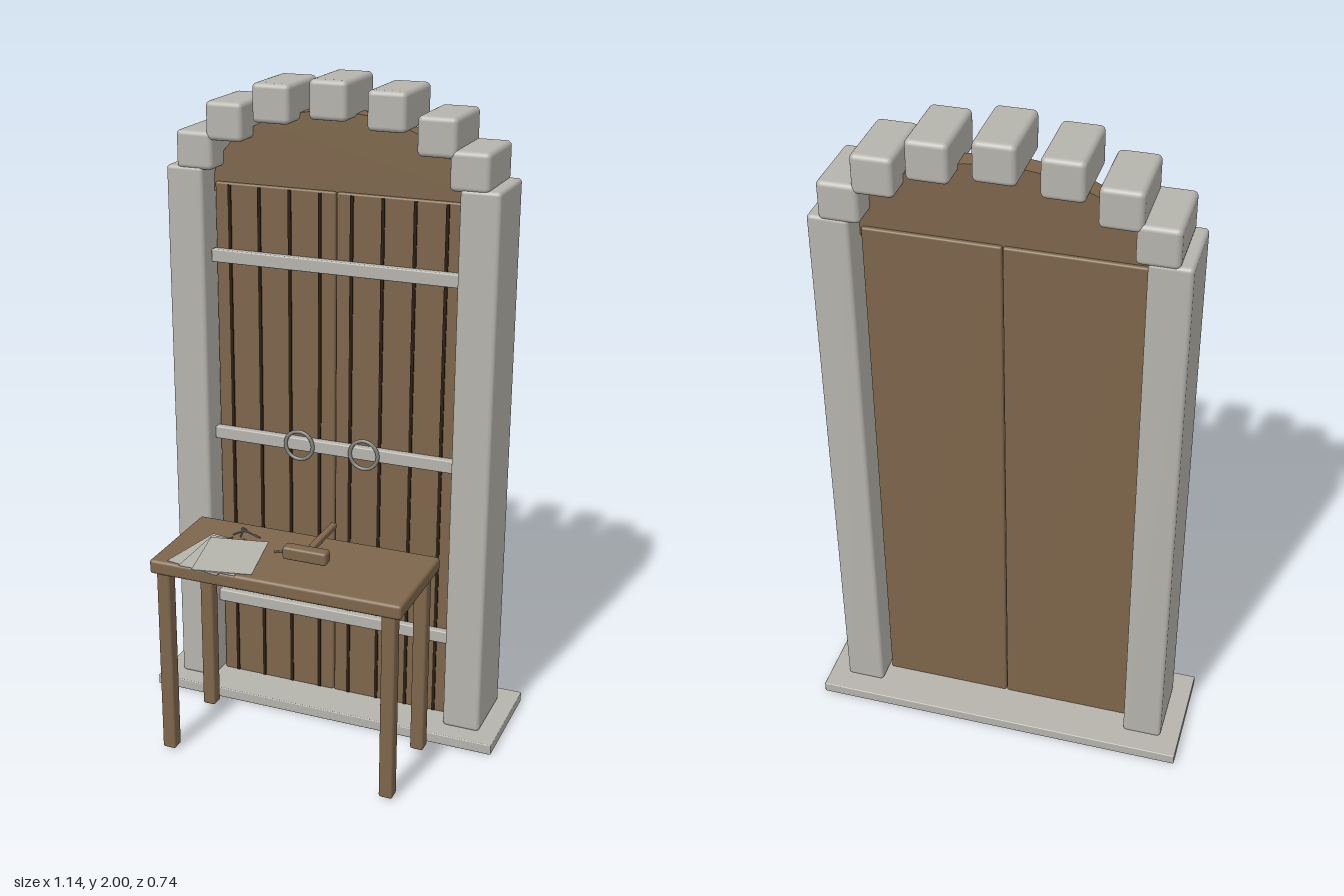
import * as THREE from 'three';
import { RoundedBoxGeometry } from 'three/addons/geometries/RoundedBoxGeometry.js';

export function createModel() {
  const model = new THREE.Group();
  model.name = 'archedDoorAndTable';

  const material = (name, color) => {
    const m = new THREE.MeshStandardMaterial({ color });
    m.name = name;
    return m;
  };
  const wood = material('wood', 0x7d664b);
  const stone = material('stone', 0xb5b3ac);
  const groove = material('dark groove', 0x2b1d10);
  const metal = material('ring metal', 0x82827e);

  const add = (name, geometry, mat, x, y, z, parent = model) => {
    const mesh = new THREE.Mesh(geometry, mat);
    mesh.name = name;
    mesh.position.set(x, y, z);
    parent.add(mesh);
    return mesh;
  };
  // Box given by its limits; r > 0 rounds the edges
  const box = (name, mat, [x0, x1], [y0, y1], [z0, z1], r = 0, parent = model) => {
    const size = [x1 - x0, y1 - y0, z1 - z0];
    const geometry = r
      ? new RoundedBoxGeometry(...size, 3, r)
      : new THREE.BoxGeometry(...size);
    return add(name, geometry, mat, (x0 + x1) / 2, (y0 + y1) / 2, (z0 + z1) / 2, parent);
  };
  const group = (name) => {
    const g = new THREE.Group();
    g.name = name;
    model.add(g);
    return g;
  };

  // Doorstep and pillars
  box('doorstep', stone, [-0.57, 0.57], [0, 0.033], [-0.373, -0.026], 0.003);
  for (const s of [-1, 1]) {
    const x = s * 0.453;
    box('pillar', stone, [x - 0.059, x + 0.059], [0.03, 1.725], [-0.307, -0.088], 0.012);
  }

  // Upright stones stepping round the arch
  const arch = group('archStones');
  const stones = [[0, 1.942], [0.175, 1.922], [0.323, 1.862], [0.42, 1.773]];
  for (const [x, y] of stones) {
    for (const s of x ? [-1, 1] : [1]) {
      const c = s * x;
      box('archStone', stone, [c - 0.058, c + 0.058], [y - 0.057, y + 0.057], [-0.309, -0.088], 0.015, arch);
    }
  }

  // Half-oval panel above the doors
  const oval = new THREE.Shape();
  oval.moveTo(-0.395, 1.64);
  oval.lineTo(0.395, 1.64);
  oval.lineTo(0.395, 1.67);
  oval.absellipse(0, 1.67, 0.395, 0.23, 0, Math.PI, false, 0);
  oval.closePath();
  add('archPanel', new THREE.ExtrudeGeometry(oval, { depth: 0.06, bevelEnabled: false, curveSegments: 24 }),
    wood, 0, 0, -0.23);

  // Pair of doors with plank grooves and ring pulls
  for (const s of [-1, 1]) {
    const door = group(s > 0 ? 'leftDoor' : 'rightDoor');
    const x = s * 0.1945;
    box('doorPanel', wood, [x - 0.193, x + 0.193], [0.03, 1.67], [-0.242, -0.16], 0.006, door);
    for (const gx of [0.05, 0.146, 0.244, 0.34]) {
      box('plankGroove', groove, [s * gx - 0.005, s * gx + 0.005], [0.034, 1.664], [-0.161, -0.156], 0, door);
    }
    add('ringPull', new THREE.TorusGeometry(0.045, 0.006, 8, 28), metal, s * 0.106, 0.88, -0.13, door);
  }
  for (const y of [0.31, 0.88, 1.45]) {
    box('doorStrap', stone, [-0.393, 0.393], [y - 0.02, y + 0.02], [-0.16, -0.135], 0.004);
  }

  // Table
  const table = group('table');
  box('tableTop', wood, [-0.393, 0.393], [0.597, 0.642], [-0.02, 0.327], 0.01, table);
  for (const x of [-0.353, 0.353]) {
    for (const z of [0.02, 0.299]) {
      box('tableLeg', wood, [x - 0.021, x + 0.021], [0.006, 0.605], [z - 0.021, z + 0.021], 0.007, table);
    }
  }

  // Mallet
  const mallet = group('mallet');
  box('malletHead', wood, [-0.026, 0.112], [0.65, 0.69], [0.149, 0.19], 0.008, mallet);
  box('malletHandle', wood, [0.032, 0.052], [0.662, 0.68], [-0.05, 0.155], 0.004, mallet);

  // Fanned sheets of paper: x, z, turn
  const papers = group('papers');
  [[-0.22, 0.24, -0.19], [-0.192, 0.242, 0], [-0.168, 0.24, 0.2]].forEach(([x, z, turn], i) => {
    const sheet = add('sheet', new THREE.BoxGeometry(0.178, 0.002, 0.225), stone, x, 0.654 + i * 0.002, z, papers);
    sheet.rotation.y = turn;
  });

  // Loose nails, from head to tip: x0, z0, x1, z1
  const nails = group('nails');
  const ends = [
    [-0.225, 0.03, -0.207, 0.088], [-0.215, 0.04, -0.15, 0.07], [-0.215, 0.035, -0.235, 0.08],
    [-0.19, 0.103, -0.138, 0.11], [-0.24, 0.118, -0.228, 0.1], [-0.07, 0.142, -0.02, 0.12],
  ];
  for (const [x0, z0, x1, z1] of ends) {
    const length = Math.hypot(x1 - x0, z1 - z0);
    const nail = new THREE.Group();
    nail.name = 'nail';
    nail.position.set((x0 + x1) / 2, 0.646, (z0 + z1) / 2);
    nail.rotation.y = Math.atan2(x1 - x0, z1 - z0);
    nails.add(nail);
    add('nailShaft', new THREE.CylinderGeometry(0.0025, 0.0025, length, 8), metal, 0, 0, 0, nail).rotation.x = Math.PI / 2;
    add('nailHead', new THREE.CylinderGeometry(0.005, 0.005, 0.003, 10), metal, 0, 0, -length / 2, nail).rotation.x = Math.PI / 2;
  }

  return model;
}
